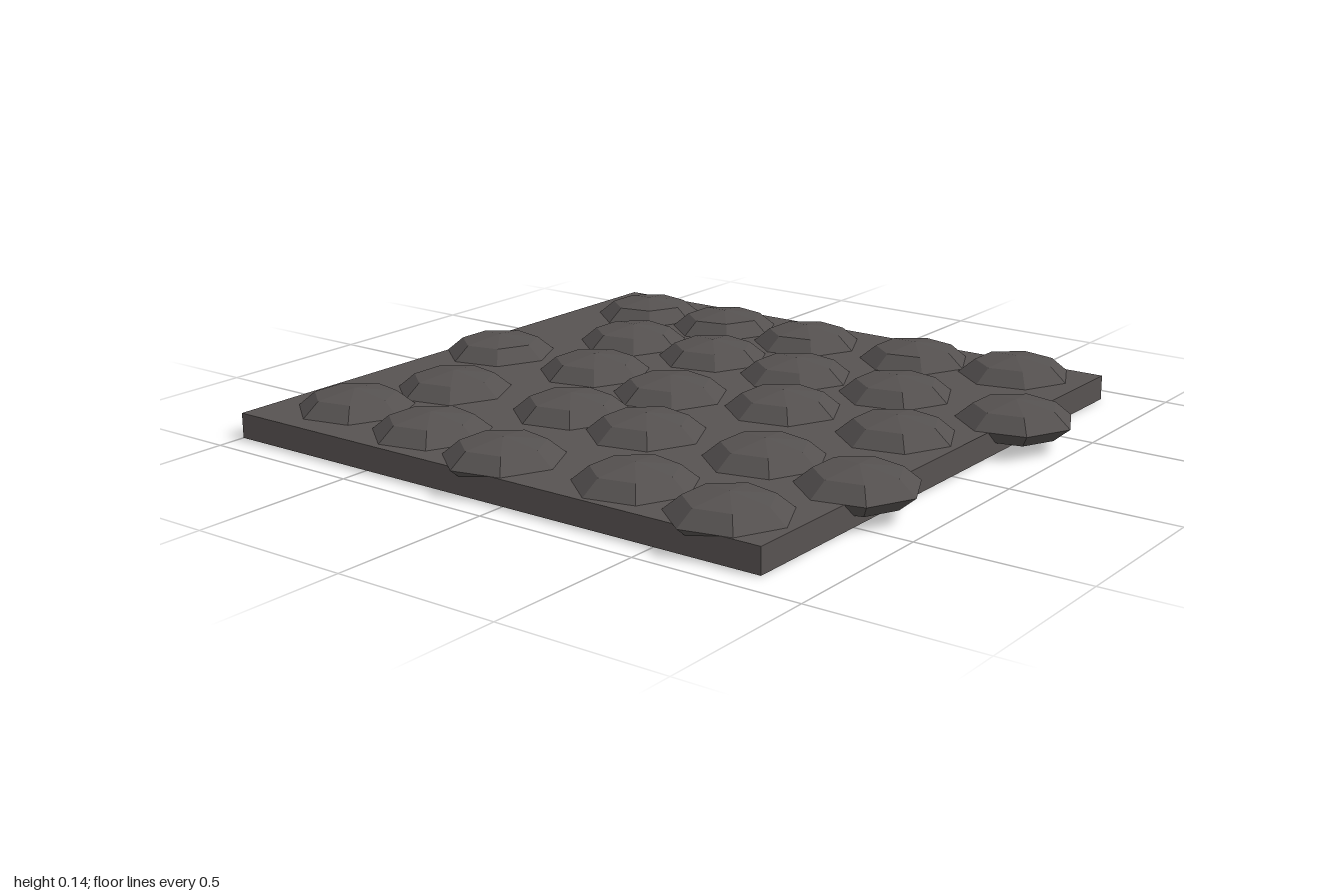
import * as THREE from 'three';

const SLAB_TOP = 0.075;
const RADIUS = 0.173;

// Rows of stones from back to front, as [x, z] centres
const ROWS = [
  [[-0.76, -0.69], [-0.45, -0.7], [-0.12, -0.7], [0.27, -0.725], [0.6, -0.77]],
  [[-0.58, -0.375], [-0.26, -0.375], [0.07, -0.355], [0.42, -0.37], [0.825, -0.355]],
  [[-0.845, -0.025], [-0.455, -0.025], [-0.12, 0.03], [0.235, -0.045], [0.63, -0.025]],
  [[-0.675, 0.37], [-0.24, 0.345], [0.055, 0.37], [0.455, 0.365], [0.775, 0.4]],
  [[-0.775, 0.68], [-0.435, 0.72], [-0.12, 0.77], [0.3, 0.73], [0.63, 0.77]],
];

export function createModel() {
  const model = new THREE.Group();
  model.name = 'cobblestoneTile';

  const slabMaterial = new THREE.MeshStandardMaterial({ color: 0x575251 });
  slabMaterial.name = 'slab grey';
  const stoneMaterial = new THREE.MeshStandardMaterial({ color: 0x555150 });
  stoneMaterial.name = 'stone grey';
  stoneMaterial.flatShading = true;

  // Square base slab
  const slab = new THREE.Mesh(new THREE.BoxGeometry(1.825, SLAB_TOP, 1.825), slabMaterial);
  slab.name = 'slab';
  slab.position.set(-0.0875, SLAB_TOP / 2, 0);
  model.add(slab);

  // Seven-sided flattened stone, one corner pointing to +x
  const stoneGeometry = new THREE.SphereGeometry(RADIUS, 7, 4);
  stoneGeometry.rotateY(Math.PI);
  stoneGeometry.scale(1, 0.06 / RADIUS, 1);

  // Stones half sunk into the slab, some overhanging its edges
  const stones = new THREE.Group();
  stones.name = 'stones';
  ROWS.forEach((row, r) => row.forEach(([x, z], c) => {
    const stone = new THREE.Mesh(stoneGeometry, stoneMaterial);
    stone.name = `stoneRow${r + 1}Column${c + 1}`;
    stone.position.set(x, SLAB_TOP, z);
    stones.add(stone);
  }));
  model.add(stones);

  return model;
}
